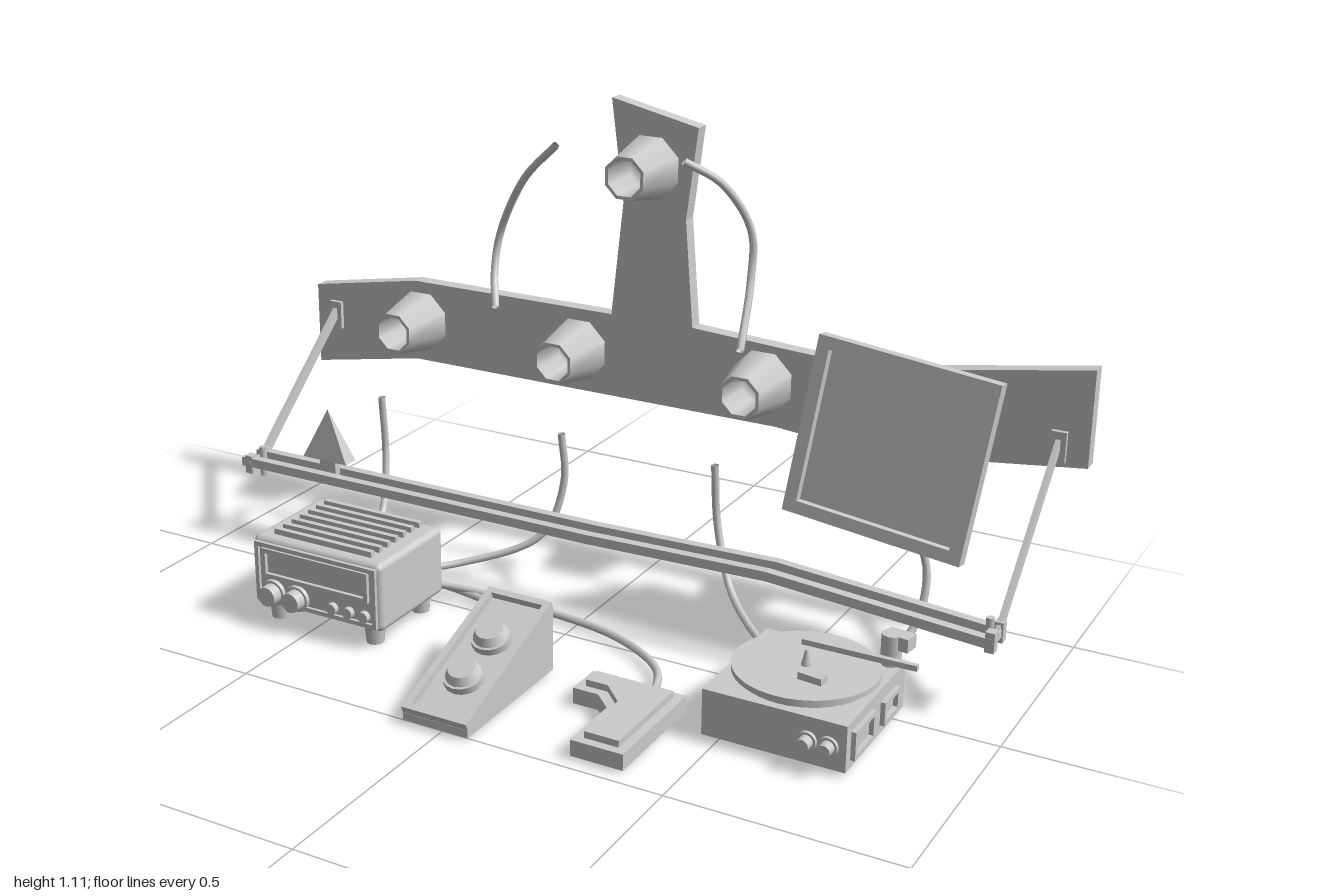
import * as THREE from 'three';
import { RoundedBoxGeometry } from 'three/addons/geometries/RoundedBoxGeometry.js';

const mat = new THREE.MeshStandardMaterial({ color: 0xcccccc });
const open = new THREE.MeshStandardMaterial({ color: 0xcccccc, side: THREE.DoubleSide });

function add(parent, name, geo, x = 0, y = 0, z = 0, material = mat) {
  const m = new THREE.Mesh(geo, material);
  m.name = name;
  m.position.set(x, y, z);
  parent.add(m);
  return m;
}
function group(parent, name, x = 0, y = 0, z = 0) {
  const g = new THREE.Group();
  g.name = name;
  g.position.set(x, y, z);
  parent.add(g);
  return g;
}
const box = (w, h, d) => new THREE.BoxGeometry(w, h, d);
const cyl = (r, h, n = 16, r2 = r) => new THREE.CylinderGeometry(r, r2, h, n);
const knob = (r, h, n = 16) => cyl(r, h, n, r * 1.08).rotateX(Math.PI / 2);
const vecs = (pts) => pts.map((p) => new THREE.Vector2(...p));
const rect = (w, h) => [[-w / 2, -h / 2], [w / 2, -h / 2], [w / 2, h / 2], [-w / 2, h / 2]];

// Flat outline pushed along +z, with an optional hole
function plate(pts, depth, hole) {
  const s = new THREE.Shape(vecs(pts));
  if (hole) s.holes.push(new THREE.Path(vecs(hole)));
  return new THREE.ExtrudeGeometry(s, { depth, bevelEnabled: false });
}
function cable(parent, ...pts) {
  const c = new THREE.CatmullRomCurve3(pts.map((p) => new THREE.Vector3(...p)));
  add(parent, 'cable', new THREE.TubeGeometry(c, 28, 0.009, 7), 0, 0, 0, open);
}
// Straight bar between two points
function bar(parent, name, a, b, w, h) {
  const A = new THREE.Vector3(...a), B = new THREE.Vector3(...b);
  const m = add(parent, name, box(w, h, A.distanceTo(B)));
  m.position.copy(A).lerp(B, 0.5);
  m.lookAt(B);
  return m;
}

function wall(root) {
  add(root, 'backPanel', plate([
    [-1, 0.335], [-0.7, 0.39], [0.28, 0.39], [0.52, 0.37], [1, 0.43], [1, 0.65], [0.52, 0.57],
    [0.3, 0.58], [0.065, 0.593], [0.043, 0.845], [0.07, 1.06], [-0.15, 1.107], [-0.118, 0.866],
    [-0.147, 0.593], [-0.7, 0.593], [-1, 0.54]], 0.036), 0, 0, -0.512);
  // Hollow eight-sided cones
  const profile = vecs([[0.077, 0], [0.052, 0.128], [0.044, 0.128], [0.04, 0.03], [0, 0.03]]);
  for (const [x, y] of [[-0.685, 0.493], [-0.235, 0.493], [0.245, 0.493], [0.65, 0.493], [-0.05, 0.957]]) {
    const parts = group(root, 'coneLamp', x, y, -0.478);
    [[0, 2], [1, 3], [2, 5]].forEach(([a, b]) => add(parts, 'coneShell',
      new THREE.LatheGeometry(profile.slice(a, b), 8, Math.PI / 8).rotateX(Math.PI / 2), 0, 0, 0, open));
  }
}

function shelf(root) {
  const top = [[-0.96, 0.207], [0, 0.209], [0.44, 0.219], [0.94, 0.182]];
  const outline = [...top.map(([x, y]) => [x, y - 0.022]), ...top.reverse()];
  for (const z of [-0.108, -0.165]) add(root, 'shelfRail', plate(outline, 0.022), 0, 0, z);
  for (const [x, y] of [[-0.94, 0.19], [0.935, 0.175]]) {
    add(root, 'wallBracket', box(0.034, 0.07, 0.012), x, 0.47, -0.471);
    bar(root, 'supportArm', [x, 0.48, -0.47], [x, y, -0.14], 0.01, 0.024);
    add(root, 'railSpacer', box(0.014, 0.018, 0.08), x, y, -0.125);
    add(root, 'clampPin', cyl(0.009, 0.075, 8), x * 0.985, y, -0.127);
    add(root, 'clampPlate', box(0.02, 0.045, 0.022), x, y, -0.097);
    add(root, 'clampPlate', box(0.02, 0.045, 0.022), x, y, -0.152);
  }
  // Pyramid standing between the rails
  const cone = new THREE.ConeGeometry(Math.SQRT1_2, 0.125, 4, 1).toNonIndexed().rotateY(Math.PI / 4);
  cone.scale(0.125, 1, 0.04).computeVertexNormals();
  add(root, 'pyramid', cone, -0.725, 0.298, -0.127);
  add(root, 'pyramidPost', box(0.045, 0.05, 0.018), -0.725, 0.212, -0.127);
}

function monitor(root) {
  const g = group(root, 'monitor', 0.664, 0.51, -0.178);
  g.rotation.set(-0.165, 0, -0.108);
  add(g, 'screenBezel', plate(rect(0.4, 0.388), 0.035, rect(0.345, 0.333)), 0, 0, -0.035);
  add(g, 'screen', box(0.35, 0.338, 0.012), 0, 0, -0.028);
  const shell = box(0.4, 0.388, 0.17);
  const p = shell.attributes.position;
  for (let i = 0; i < p.count; i++)
    if (p.getZ(i) < 0) p.setXY(i, p.getX(i) * 0.59, p.getY(i) * 0.73);
  shell.computeVertexNormals();
  add(g, 'taperedShell', shell, 0, 0, -0.12);
}

function amplifier(root) {
  const g = group(root, 'amplifier', -0.478, 0, 0.145);
  add(g, 'case', new RoundedBoxGeometry(0.345, 0.162, 0.25, 2, 0.015), 0, 0.122, 0);
  add(g, 'frontFrame', plate(rect(0.325, 0.142), 0.01, rect(0.305, 0.122)), 0, 0.122, 0.122);
  add(g, 'displayFrame', plate(rect(0.285, 0.07), 0.01, rect(0.265, 0.05)), 0, 0.146, 0.124);
  for (const x of [-0.117, -0.052]) {
    add(g, 'dialRing', knob(0.03, 0.01), x, 0.075, 0.128);
    add(g, 'dial', knob(0.023, 0.03), x, 0.075, 0.142);
  }
  for (const x of [0.045, 0.088, 0.13]) add(g, 'button', knob(0.013, 0.014, 12), x, 0.075, 0.13);
  for (let i = 0; i < 7; i++) add(g, 'ventSlat', box(0.262, 0.02, 0.013), 0, 0.206, -0.096 + i * 0.031);
  for (const x of [-0.13, 0.13]) for (const z of [-0.09, 0.09])
    add(g, 'foot', cyl(0.024, 0.045, 12, 0.02), x, 0.0225, z);
}

function wedgePedal(root) {
  const g = group(root, 'wedgePedal', -0.013, 0, 0);
  const body = plate([[0.165, 0.005], [0.507, 0.005], [0.507, 0.022], [0.165, 0.152]], 0.156);
  add(g, 'wedgeBody', body.translate(0, 0, -0.078).rotateY(-Math.PI / 2));
  const face = group(g, 'slopedFace', 0, 0.087, 0.336);
  face.rotation.x = 0.363;
  add(face, 'rim', plate(rect(0.156, 0.365), 0.016, rect(0.126, 0.335)).rotateX(-Math.PI / 2));
  for (const z of [-0.056, 0.06]) {
    add(face, 'knobBase', cyl(0.045, 0.016, 16), 0, 0.008, z);
    add(face, 'knob', cyl(0.03, 0.02, 16, 0.04), 0, 0.024, z);
  }
}

function anglePedal(root) {
  const g = group(root, 'anglePedal');
  // L outline drawn in x and -z, inset by i
  const ell = (i) => [[0.176 + i, -0.19 - i], [0.176 + i, -0.275 + i], [0.235 + i * 0.6, -0.275 + i],
    [0.277 + i, -0.315 + i * 0.5], [0.277 + i, -0.465 + i], [0.395 - i, -0.465 + i], [0.395 - i, -0.19 - i]];
  add(g, 'pedalBase', plate(ell(0), 0.036).rotateX(-Math.PI / 2), 0, 0.005, 0);
  add(g, 'pedalTop', plate(ell(0.02), 0.016).rotateX(-Math.PI / 2), 0, 0.04, 0);
}

function turntable(root) {
  const g = group(root, 'turntable', 0.622, 0, 0.112);
  add(g, 'plinth', box(0.31, 0.102, 0.31), 0, 0.061, 0);
  add(g, 'platterBase', cyl(0.14, 0.012, 40), 0, 0.117, -0.004);
  add(g, 'platter', cyl(0.152, 0.012, 48), 0, 0.128, -0.004);
  add(g, 'spindle', cyl(0.004, 0.035, 12, 0.012), 0, 0.15, -0.004);
  // Tonearm with pivot, counterweight and head
  add(g, 'armPost', cyl(0.022, 0.07, 12), 0.13, 0.145, -0.135);
  bar(g, 'toneArm', [0.145, 0.165, -0.16], [0.045, 0.16, 0.065], 0.012, 0.012);
  bar(g, 'counterweight', [0.155, 0.165, -0.168], [0.132, 0.165, -0.115], 0.036, 0.03);
  bar(g, 'armHead', [0.055, 0.158, 0.05], [0.036, 0.15, 0.1], 0.024, 0.015);
  for (const x of [0.073, 0.118]) {
    add(g, 'controlRing', knob(0.02, 0.008), x, 0.06, 0.157);
    add(g, 'controlKnob', knob(0.014, 0.03), x, 0.06, 0.168);
  }
  // Framed windows on the side
  const side = (w, h) => plate(rect(w, h), 0.012, rect(w - 0.02, h - 0.02)).rotateY(Math.PI / 2);
  add(g, 'sideFrame', side(0.105, 0.062), 0.153, 0.059, 0.08);
  add(g, 'sideSocket', side(0.082, 0.052), 0.153, 0.056, -0.063);
}

export function createModel() {
  const root = new THREE.Group();
  wall(root);
  shelf(root);
  monitor(root);
  amplifier(root);
  wedgePedal(root);
  anglePedal(root);
  turntable(root);
  // Hanging cables
  cable(root, [-0.187, 1.03, -0.285], [-0.28, 0.94, -0.305], [-0.365, 0.79, -0.335], [-0.365, 0.71, -0.31], [-0.333, 0.64, -0.26]);
  cable(root, [0.13, 1.03, -0.285], [0.2, 0.98, -0.33], [0.25, 0.87, -0.378], [0.258, 0.765, -0.365], [0.29, 0.64, -0.25]);
  cable(root, [-0.695, 0.34, -0.31], [-0.685, 0.19, -0.305], [-0.66, 0.07, -0.25], [-0.63, 0.025, -0.14], [-0.6, 0.05, 0.03]);
  cable(root, [-0.187, 0.34, -0.31], [-0.18, 0.22, -0.31], [-0.22, 0.09, -0.27], [-0.38, 0.025, -0.16], [-0.475, 0.03, -0.05], [-0.52, 0.05, 0.03]);
  cable(root, [0.21, 0.34, -0.31], [0.22, 0.2, -0.31], [0.28, 0.07, -0.26], [0.4, 0.025, -0.15], [0.54, 0.04, -0.03]);
  cable(root, [0.66, 0.34, -0.3], [0.72, 0.2, -0.305], [0.71, 0.07, -0.25], [0.64, 0.025, -0.13], [0.56, 0.04, -0.03]);
  // Floor cables from the amplifier to the pedals
  cable(root, [-0.46, 0.05, 0.04], [-0.4, 0.035, -0.02], [-0.28, 0.025, -0.03], [-0.11, 0.02, 0.02], [-0.013, 0.03, 0.18]);
  cable(root, [-0.42, 0.05, 0.03], [-0.3, 0.035, -0.025], [-0.1, 0.022, -0.045], [0.12, 0.018, -0.015], [0.27, 0.018, 0.08], [0.32, 0.02, 0.2]);
  return root;
}
